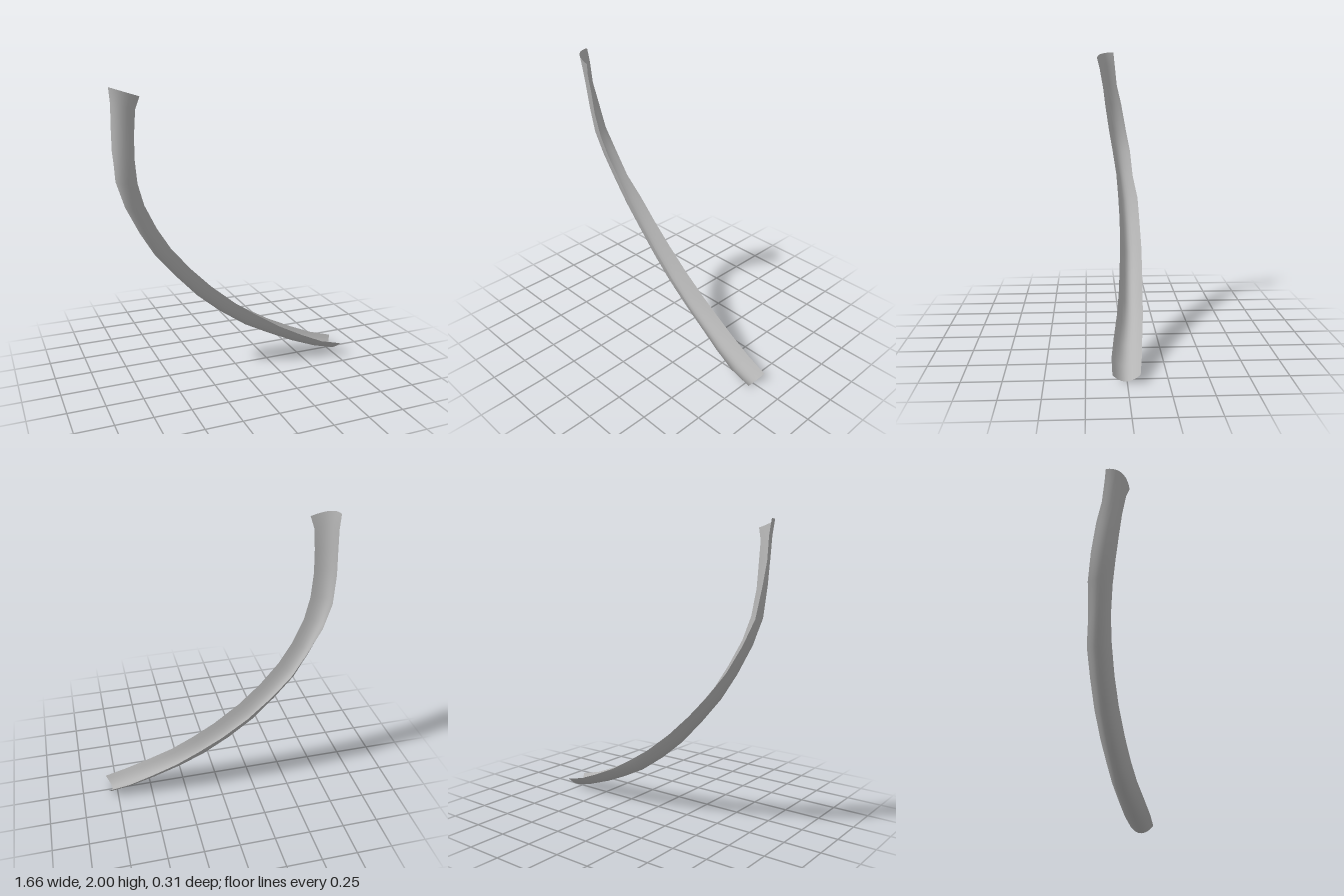
import * as THREE from 'three';

// Stations from the upper end to the lower end:
// [outer x, outer y, inner x, inner y, front z, back z, height of back lip (0 outer .. 1 inner)]
const stations = [
  [-0.84, 2.00, -0.68, 1.95, 0.15, 0.02, 0],
  [-0.83, 1.90, -0.705, 1.87, 0.13, 0.01, 0],
  [-0.83, 1.75, -0.71, 1.73, 0.105, -0.005, 0],
  [-0.825, 1.60, -0.71, 1.57, 0.085, -0.04, 0.02],
  [-0.81, 1.40, -0.69, 1.40, 0.06, -0.075, 0.1],
  [-0.755, 1.23, -0.645, 1.25, 0.035, -0.105, 0.22],
  [-0.66, 1.04, -0.56, 1.08, 0.01, -0.12, 0.35],
  [-0.555, 0.87, -0.465, 0.93, 0.0, -0.15, 0.5],
  [-0.42, 0.71, -0.33, 0.77, -0.005, -0.155, 0.6],
  [-0.26, 0.54, -0.18, 0.62, -0.002, -0.157, 0.7],
  [-0.09, 0.40, 0.0, 0.47, 0.01, -0.15, 0.78],
  [0.10, 0.27, 0.16, 0.36, 0.023, -0.14, 0.85],
  [0.28, 0.18, 0.32, 0.26, 0.042, -0.13, 0.9],
  [0.46, 0.10, 0.50, 0.17, 0.07, -0.112, 0.95],
  [0.64, 0.035, 0.66, 0.10, 0.09, -0.097, 1],
  [0.785, 0.0, 0.82, 0.057, 0.09, -0.078, 1],
];
const ACROSS = 10;

// Open gutter skin: each cross-section is a curve from back lip to front lip
function gutterGeometry() {
  const positions = [], indices = [];
  for (const [ox, oy, ix, iy, zf, zb, lip] of stations) {
    // x is the fraction from the outer to the inner line, y is z
    const section = new THREE.QuadraticBezierCurve(
      new THREE.Vector2(lip, zb),
      new THREE.Vector2(-Math.sqrt(lip), THREE.MathUtils.lerp(zb, zf, 1 - 0.5 * lip)),
      new THREE.Vector2(1, zf));
    for (const p of section.getPoints(ACROSS)) {
      positions.push(ox + (ix - ox) * p.x, oy + (iy - oy) * p.x, p.y);
    }
  }
  const row = ACROSS + 1;
  for (let i = 0; i < stations.length - 1; i++) {
    for (let j = 0; j < ACROSS; j++) {
      const a = i * row + j, b = a + row;
      indices.push(a, b, a + 1, b, b + 1, a + 1);
    }
  }
  const geometry = new THREE.BufferGeometry();
  geometry.setAttribute('position', new THREE.Float32BufferAttribute(positions, 3));
  geometry.setIndex(indices);
  geometry.computeVertexNormals();
  return geometry;
}

export function createModel() {
  const group = new THREE.Group();
  group.name = 'curvedTrim';
  const grey = new THREE.MeshStandardMaterial({ color: 0xb4b4b4, side: THREE.DoubleSide });
  grey.name = 'grey';
  const strip = new THREE.Mesh(gutterGeometry(), grey);
  strip.name = 'curvedGutterStrip';
  group.add(strip);
  return group;
}
